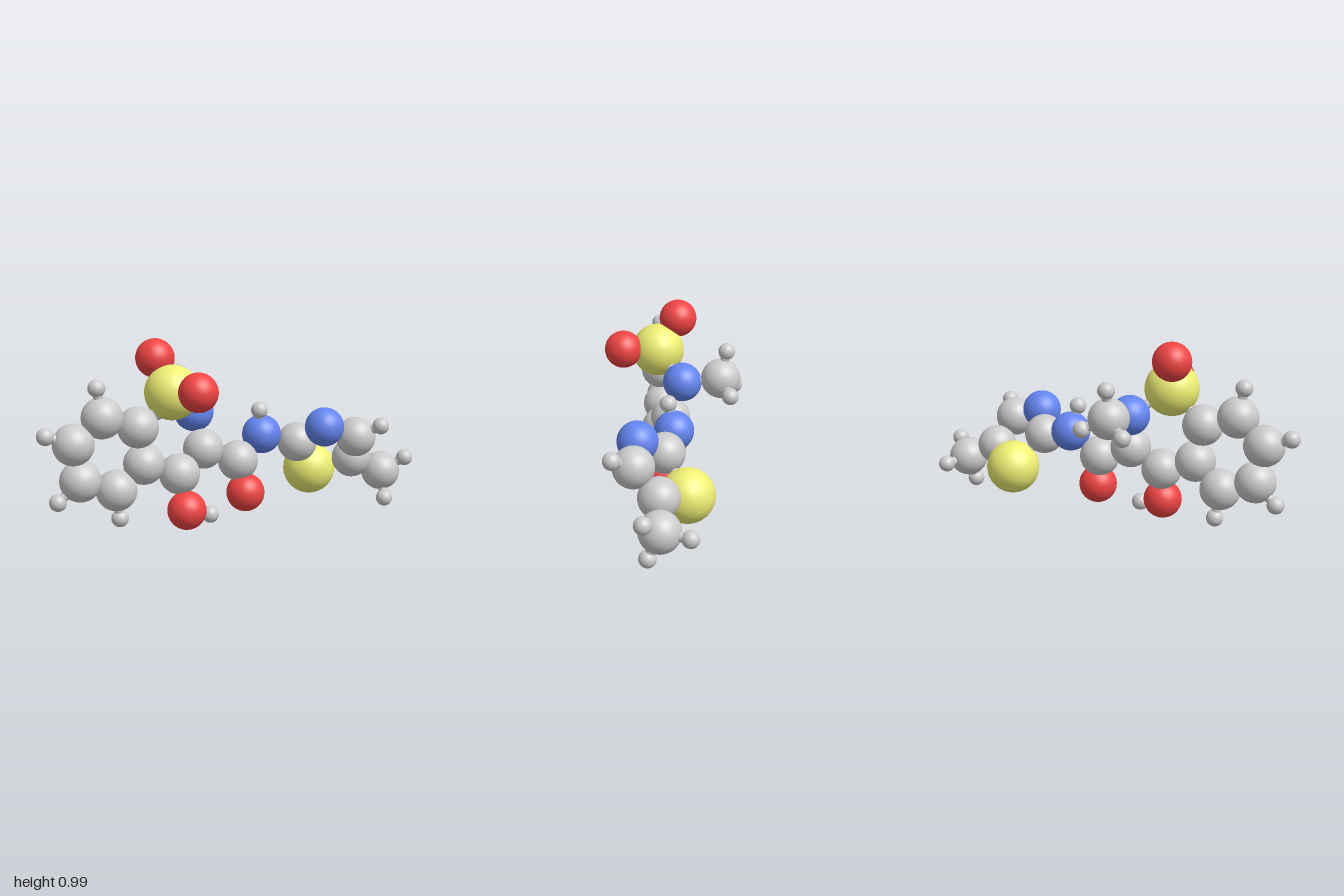
import * as THREE from 'three';

// Element styles: name, sphere radius, colour
const ELEMENTS = {
  C: { name: 'carbonAtom', r: 0.107, color: 0xcccccc },
  H: { name: 'hydrogenAtom', r: 0.045, color: 0xcccccc },
  N: { name: 'nitrogenAtom', r: 0.105, color: 0x6485f0 },
  O: { name: 'oxygenAtom', r: 0.102, color: 0xf04444 },
  S: { name: 'sulfurAtom', r: 0.143, color: 0xeeee74 },
};

// Atoms: the first letter of each key is the element
const ATOMS = {
  // sulfonyl and ring nitrogen with its methyl
  S1: [-0.33, 0.727, 0.21], O1: [-0.418, 0.894, 0.127], O2: [-0.195, 0.748, 0.358],
  N1: [-0.22, 0.594, 0.018], C1: [-0.287, 0.62, -0.18],
  H1: [-0.3, 0.772, -0.208], H2: [-0.184, 0.559, -0.275], H3: [-0.425, 0.55, -0.208],
  // enol side of the middle ring
  C2: [-0.171, 0.403, 0.067], C3: [-0.296, 0.292, 0.175],
  O3: [-0.258, 0.107, 0.22], H4: [-0.136, 0.071, 0.167],
  // benzene ring
  C4: [-0.477, 0.361, 0.247], C5: [-0.504, 0.557, 0.27], C6: [-0.68, 0.62, 0.346],
  C7: [-0.822, 0.493, 0.394], C8: [-0.793, 0.3, 0.368], C9: [-0.617, 0.234, 0.293],
  H6: [-0.704, 0.773, 0.36], H7: [-0.955, 0.545, 0.447],
  H8: [-0.905, 0.197, 0.402], H9: [-0.603, 0.08, 0.272],
  // amide
  C10: [0.014, 0.326, 0.008], O4: [0.054, 0.155, 0.028],
  N2: [0.145, 0.45, -0.087], H10: [0.131, 0.588, -0.048],
  // five-membered ring
  C11: [0.34, 0.4, -0.118], N3: [0.48, 0.497, -0.03], C12: [0.656, 0.432, -0.087],
  C13: [0.65, 0.29, -0.22], S2: [0.42, 0.223, -0.276], H12: [0.783, 0.5, -0.03],
  // end methyl
  C14: [0.825, 0.197, -0.3], H13: [0.953, 0.277, -0.268],
  H14: [0.841, 0.052, -0.242], H15: [0.814, 0.182, -0.455],
};

// Bonded chains: each neighbouring pair is joined by a stick
const CHAINS = [
  'O1 S1 O2', 'S1 N1 C2 C3 C4 C5 S1', 'N1 C1 H1', 'H2 C1 H3',
  'C3 O3 H4', 'C5 C6 C7 C8 C9 C4', 'C6 H6', 'C7 H7', 'C8 H8', 'C9 H9',
  'C2 C10 O4', 'C10 N2 H10', 'N2 C11 N3 C12 C13 S2 C11', 'C12 H12',
  'C13 C14 H13', 'H14 C14 H15',
];

export function createModel() {
  const model = new THREE.Group();
  model.name = 'molecule';
  const atoms = new THREE.Group();
  atoms.name = 'atoms';
  const bonds = new THREE.Group();
  bonds.name = 'bonds';
  model.add(atoms, bonds);

  // One shared sphere and material per element
  const kit = {};
  for (const [key, { r, color }] of Object.entries(ELEMENTS)) {
    kit[key] = {
      geometry: new THREE.SphereGeometry(r, 40, 28),
      material: new THREE.MeshStandardMaterial({ color }),
    };
  }
  for (const [key, position] of Object.entries(ATOMS)) {
    const { geometry, material } = kit[key[0]];
    const atom = new THREE.Mesh(geometry, material);
    atom.name = ELEMENTS[key[0]].name;
    atom.position.set(...position);
    atoms.add(atom);
  }

  // Sticks between bonded atoms
  const stick = new THREE.CylinderGeometry(0.025, 0.025, 1, 16, 1, true);
  const up = new THREE.Vector3(0, 1, 0);
  for (const chain of CHAINS) {
    const points = chain.split(' ').map((key) => new THREE.Vector3(...ATOMS[key]));
    for (let i = 1; i < points.length; i++) {
      const along = points[i].clone().sub(points[i - 1]);
      const bond = new THREE.Mesh(stick, kit.C.material);
      bond.name = 'bond';
      bond.position.copy(points[i]).add(points[i - 1]).multiplyScalar(0.5);
      bond.scale.y = along.length();
      bond.quaternion.setFromUnitVectors(up, along.normalize());
      bonds.add(bond);
    }
  }
  return model;
}
